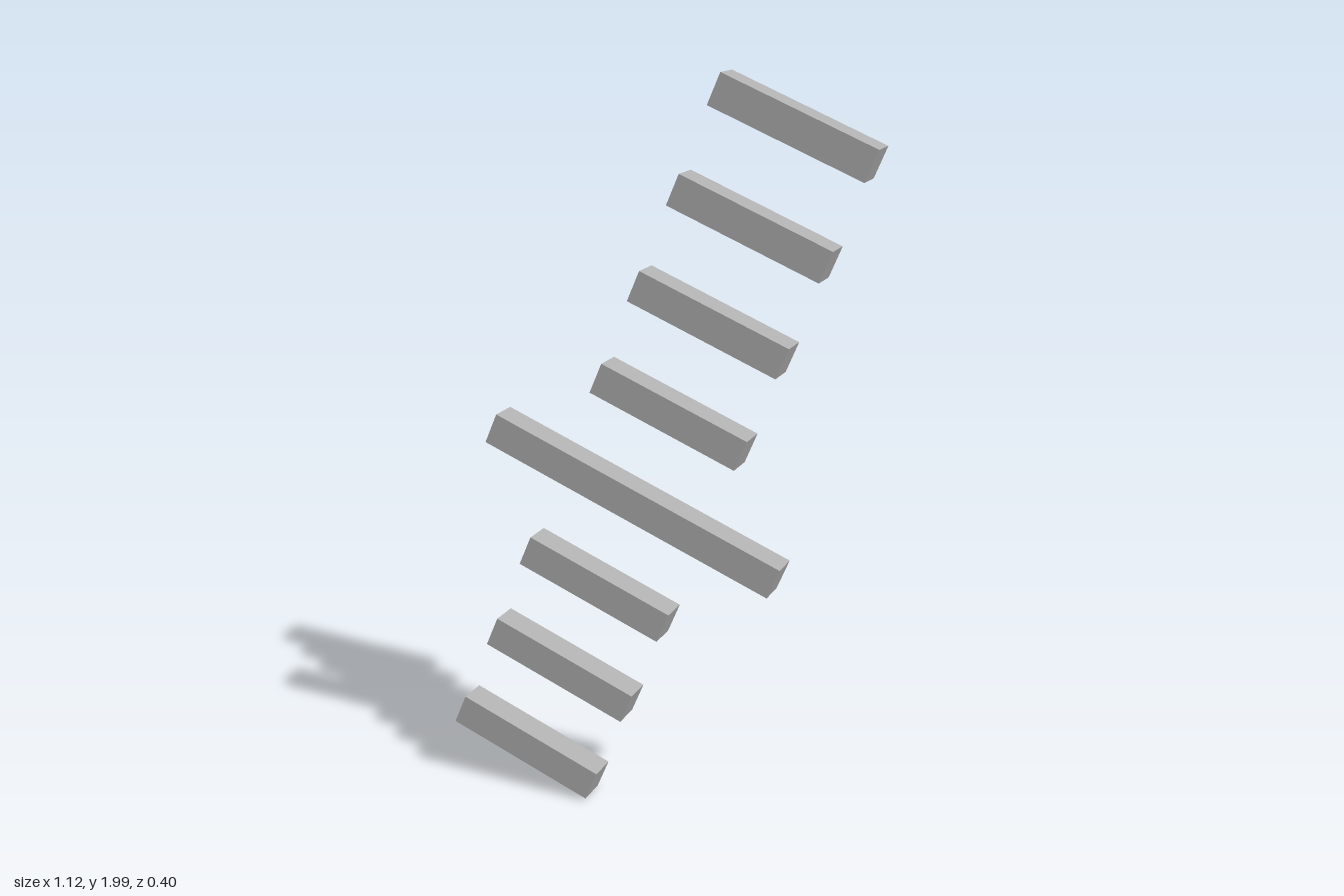
import * as THREE from 'three';

export function createModel() {
  const model = new THREE.Group();
  const grey = new THREE.MeshStandardMaterial({ color: 0xb0b0b0 });
  grey.name = 'grey';

  const count = 8, longIndex = 3;
  const spacing = 0.269, thickness = 0.086, barLength = 0.43;

  // Tilted frame: bars run along local x and stack along local y
  const along = new THREE.Vector3(0.857, -0.358, 0.37).normalize();
  const front = along.clone().cross(new THREE.Vector3(0.364, 0.93, 0.057)).normalize();
  const up = front.clone().cross(along);
  const stack = new THREE.Group();
  stack.name = 'barStack';
  stack.quaternion.setFromRotationMatrix(new THREE.Matrix4().makeBasis(along, up, front));
  stack.position.set(-0.002, 1, 0.009);
  model.add(stack);

  // Evenly spaced bars, one of them twice as long
  for (let i = 0; i < count; i++) {
    const isLong = i === longIndex;
    const geometry = new THREE.BoxGeometry(barLength * (isLong ? 2 : 1), thickness, thickness);
    const bar = new THREE.Mesh(geometry, grey);
    bar.name = isLong ? 'longBar' : `shortBar${i + 1}`;
    bar.position.y = (i - (count - 1) / 2) * spacing;
    stack.add(bar);
  }
  return model;
}
